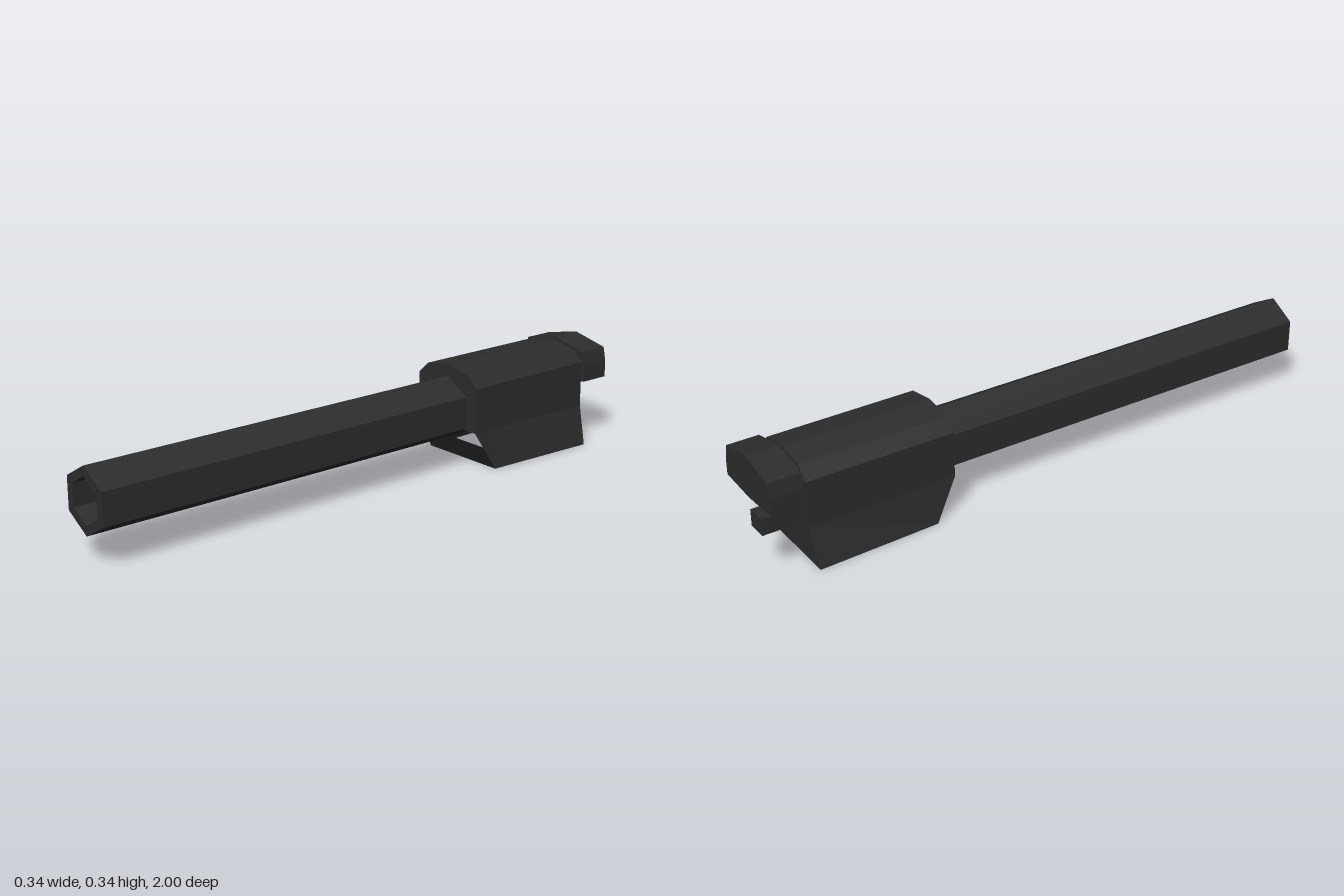
import * as THREE from 'three';

const AXIS = 0.19; // height of the bore axis

// Hexagon points with a corner at the top
function hexPoints(r) {
  return Array.from({ length: 6 }, (_, i) => {
    const a = Math.PI / 2 + i * Math.PI / 3;
    return new THREE.Vector2(Math.cos(a) * r, AXIS + Math.sin(a) * r);
  });
}

// Mirror a right-hand profile (bottom to top centre) into a full outline
function mirrored(half) {
  const left = half.slice().reverse().filter(p => p[0] > 0).map(([x, y]) => [-x, y]);
  return half.concat(left);
}

const toVectors = pts => pts.map(([x, y]) => new THREE.Vector2(x, y));

export function createModel() {
  const group = new THREE.Group();
  const gunmetal = new THREE.MeshStandardMaterial({ color: 0x2d2d2d, flatShading: true, side: THREE.DoubleSide });
  gunmetal.name = 'gunmetal';

  function add(name, geometry) {
    const mesh = new THREE.Mesh(geometry, gunmetal);
    mesh.name = name;
    group.add(mesh);
    return mesh;
  }

  // Extrude an outline from zBack to zFront
  function prism(name, points, zBack, zFront, hole) {
    const shape = new THREE.Shape(points);
    if (hole) shape.holes.push(new THREE.Path(hole));
    const geometry = new THREE.ExtrudeGeometry(shape, { depth: zFront - zBack, bevelEnabled: false });
    geometry.translate(0, 0, zBack);
    return add(name, geometry);
  }

  // Hexagonal barrel, open right through
  prism('barrel', hexPoints(0.105), -0.85, 1, hexPoints(0.073));

  // Receiver shell: arched top and flared skirt, open underneath
  const upper = [[0.135, 0.13], [0.135, 0.28], [0.095, 0.318], [0, 0.333]];
  const sections = [
    { z: -0.365, zLow: -0.365, w: 0.135, low: 0.13 },
    { z: -0.44, zLow: -0.44, w: 0.155, low: 0 },
    { z: -0.855, zLow: -0.845, w: 0.17, low: 0 },
  ];
  const positions = [];
  const index = [];
  const rows = sections.map(s => mirrored([[s.w, s.low], ...upper]));
  rows.forEach((row, r) => row.forEach(([x, y], i) => {
    const end = i === 0 || i === row.length - 1;
    positions.push(x, y, end ? sections[r].zLow : sections[r].z);
  }));
  const n = rows[0].length;
  for (let r = 0; r < rows.length - 1; r++) {
    for (let i = 0; i < n - 1; i++) {
      const a = r * n + i, b = a + n;
      index.push(a, b, a + 1, b, b + 1, a + 1);
    }
  }
  const shell = new THREE.BufferGeometry();
  shell.setAttribute('position', new THREE.Float32BufferAttribute(positions, 3));
  shell.setIndex(index);
  shell.computeVertexNormals();
  add('receiverShell', shell);

  // Front face, wrapped over the barrel
  const face = mirrored(upper).concat([
    [-0.078, 0.13], [-0.091, 0.138], [-0.091, 0.243], [0, 0.295],
    [0.091, 0.243], [0.091, 0.138], [0.078, 0.13],
  ]);
  const front = new THREE.ShapeGeometry(new THREE.Shape(toVectors(face)));
  front.translate(0, 0, -0.365);
  add('receiverFront', front);

  // Sloping lip across the front of the skirt
  const lip = new THREE.BufferGeometry();
  lip.setAttribute('position', new THREE.Float32BufferAttribute([
    -0.155, 0, -0.44, 0.155, 0, -0.44, 0.143, 0.08, -0.394, -0.143, 0.08, -0.394,
  ], 3));
  lip.setIndex([0, 1, 2, 0, 2, 3]);
  lip.computeVertexNormals();
  add('skirtLip', lip);

  // Rear wall with the bore opening
  const opening = toVectors([
    [0, 0.27], [0.073, 0.228], [0.073, 0.153], [0.03, 0.127],
    [-0.03, 0.127], [-0.073, 0.153], [-0.073, 0.228],
  ]);
  const rear = new THREE.ShapeGeometry((() => {
    const s = new THREE.Shape(toVectors(mirrored([[0.17, 0], ...upper])));
    s.holes.push(new THREE.Path(opening));
    return s;
  })());
  const rp = rear.attributes.position;
  for (let i = 0; i < rp.count; i++) rp.setZ(i, rp.getY(i) < 0.01 ? -0.845 : -0.855);
  const ri = rear.index.array;
  for (let i = 0; i < ri.length; i += 3) [ri[i], ri[i + 1]] = [ri[i + 1], ri[i]];
  rear.computeVertexNormals();
  add('receiverRear', rear);

  // Narrow collar joining receiver and breech cap
  prism('collar', toVectors(mirrored([[0.12, 0.205], [0.12, 0.28], [0.09, 0.308], [0, 0.323]])
    .concat([[-0.085, 0.205], [-0.085, 0.25], [0, 0.29], [0.085, 0.25], [0.085, 0.205]])), -0.868, -0.853);

  // Breech cap: hollow arched roof closed by a back plate
  const cap = [[0.138, 0.21], [0.138, 0.265], [0.128, 0.312], [0, 0.34]];
  const cavity = [[-0.105, 0.21], [-0.105, 0.265], [0, 0.29], [0.105, 0.265], [0.105, 0.21]];
  prism('breechRoof', toVectors(mirrored(cap).concat(cavity)), -0.935, -0.865);
  prism('breechBack', toVectors(mirrored(cap).concat([[0, 0.202]])), -0.97, -0.935);

  // Latch bar on the right, reaching out behind the cap
  const bar = new THREE.BoxGeometry(0.065, 0.055, 0.14);
  add('latchBar', bar).position.set(-0.1025, 0.1825, -0.93);
  const post = new THREE.BoxGeometry(0.03, 0.06, 0.045);
  add('latchPost', post).position.set(-0.115, 0.235, -0.89);

  return group;
}
